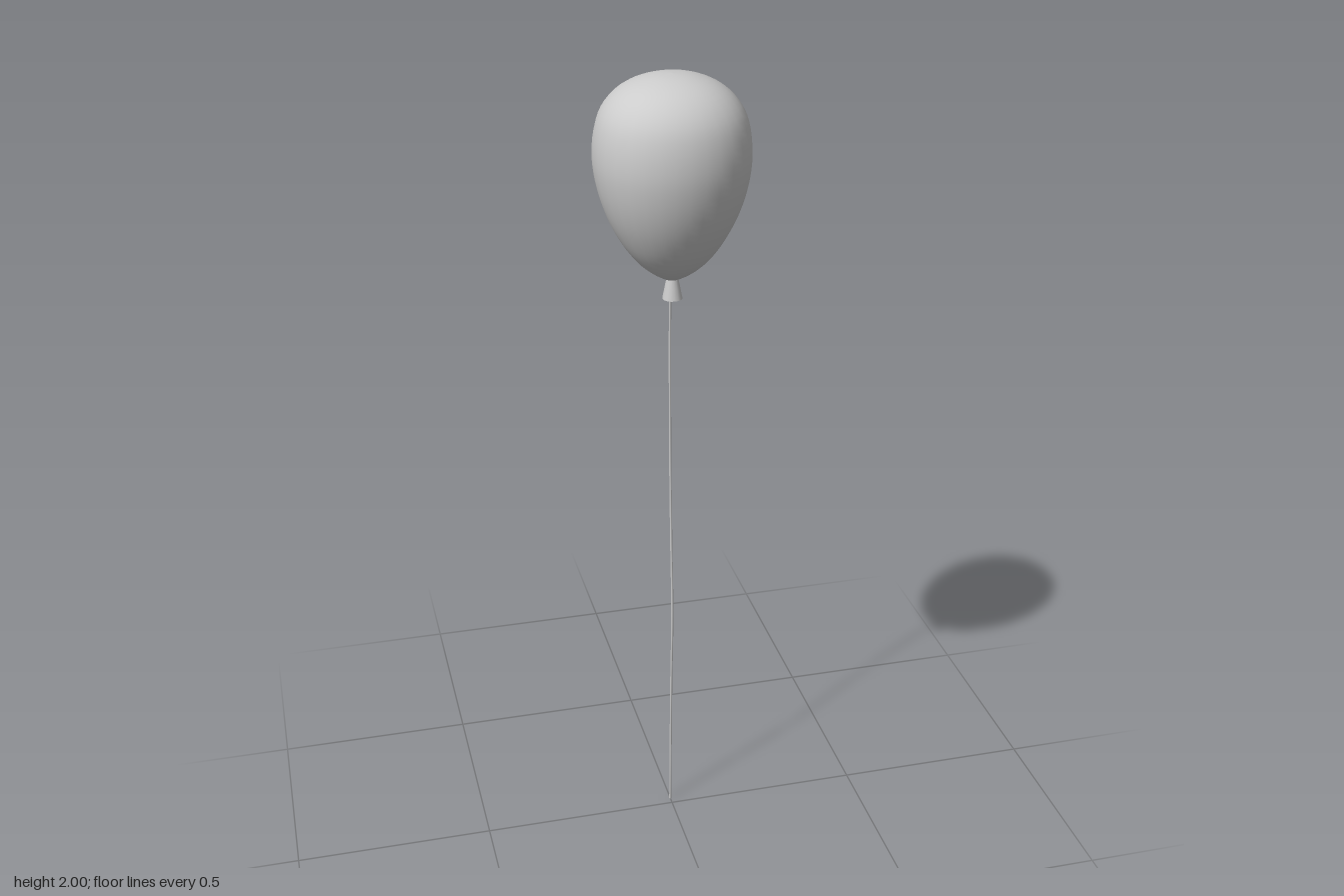
import * as THREE from 'three';

const material = new THREE.MeshStandardMaterial({ color: 0xcccccc, side: THREE.DoubleSide });

function addPart(group, name, geometry) {
  const mesh = new THREE.Mesh(geometry, material);
  mesh.name = name;
  group.add(mesh);
  return mesh;
}

// Smooth lathe through a few [radius, height] points, listed from the bottom up
function smoothLathe(points, steps, sides) {
  const curve = new THREE.SplineCurve(points.map(([r, y]) => new THREE.Vector2(r, y)));
  const profile = curve.getPoints(steps);
  profile.forEach((p) => { p.x = Math.max(p.x, 0); });
  return new THREE.LatheGeometry(profile, sides);
}

export function createModel() {
  const group = new THREE.Group();
  group.name = 'balloon';

  // Inflated body: egg shape with a flattened crown
  const body = smoothLathe([
    [0.01, 1.515], [0.043, 1.533], [0.078, 1.561], [0.112, 1.603], [0.142, 1.656],
    [0.163, 1.71], [0.176, 1.764], [0.181, 1.815], [0.177, 1.868], [0.163, 1.915],
    [0.135, 1.953], [0.095, 1.98], [0.045, 1.996], [0, 2],
  ], 40, 32);
  // Slightly narrower front to back, with faintly fuller diagonals
  const pos = body.attributes.position;
  for (let i = 0; i < pos.count; i++) {
    const x = pos.getX(i), z = pos.getZ(i);
    const full = 1 + 0.015 * Math.sin(2 * Math.atan2(z, x)) ** 2;
    pos.setX(i, x * full);
    pos.setZ(i, z * full * 0.98);
  }
  body.computeVertexNormals();
  // Restore matching normals along the lathe seam
  const normal = body.attributes.normal;
  const rows = pos.count / 33;
  for (let j = 0; j < rows; j++) {
    const a = new THREE.Vector3().fromBufferAttribute(normal, j);
    const last = 32 * rows + j;
    a.add(new THREE.Vector3().fromBufferAttribute(normal, last)).normalize();
    normal.setXYZ(j, a.x, a.y, a.z);
    normal.setXYZ(last, a.x, a.y, a.z);
  }
  addPart(group, 'balloonBody', body);

  // Tied neck flaring into an open skirt
  const neck = new THREE.CylinderGeometry(0.013, 0.024, 0.055, 16, 2, true);
  addPart(group, 'neck', neck).position.set(0, 1.4975, 0.003);

  // Thin string swaying front to back
  const path = new THREE.CatmullRomCurve3([
    [0, 1.51, -0.012], [0, 1.46, -0.018], [0, 1.25, -0.021], [0, 1, -0.017],
    [0, 0.8, -0.008], [0.001, 0.6, -0.001], [0, 0.4, -0.008], [0, 0.2, -0.015], [0, 0, -0.02],
  ].map((p) => new THREE.Vector3(...p)));
  addPart(group, 'string', new THREE.TubeGeometry(path, 32, 0.003, 6));

  return group;
}
